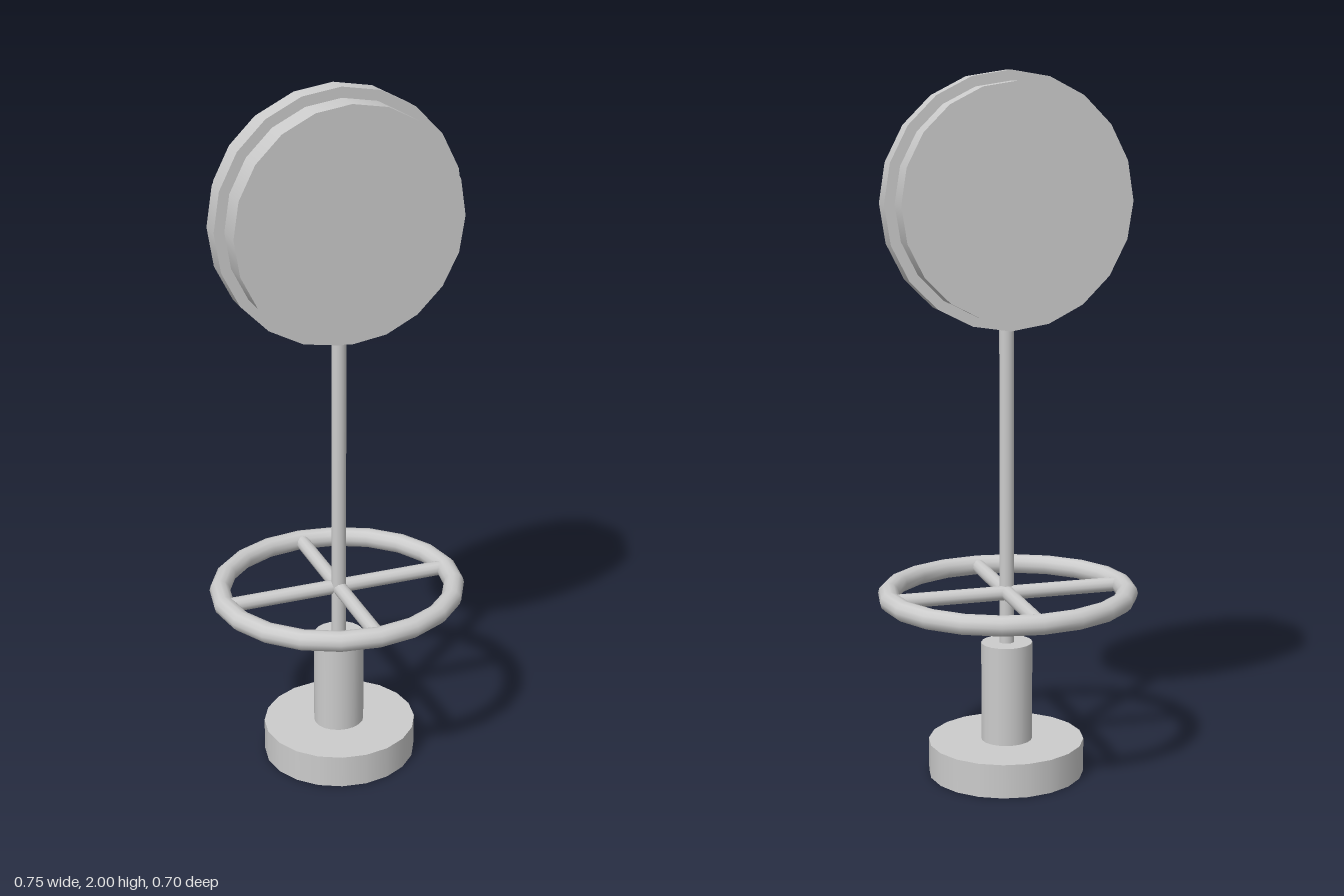
import * as THREE from 'three';

const SIDES = 20;

export function createModel() {
  const model = new THREE.Group();
  const material = new THREE.MeshStandardMaterial({ color: 0xcccccc });

  const add = (name, geometry, x, y, z) => {
    const mesh = new THREE.Mesh(geometry, material);
    mesh.name = name;
    mesh.position.set(x, y, z);
    model.add(mesh);
    return mesh;
  };

  // Upright cylinder, slightly flattened in z
  const upright = (name, rx, rz, y0, y1, x = 0) => {
    const geometry = new THREE.CylinderGeometry(rx, rx, y1 - y0, SIDES);
    geometry.scale(1, 1, rz / rx);
    return add(name, geometry, x, (y0 + y1) / 2, 0.011);
  };
  upright('base', 0.225, 0.217, 0, 0.098, 0.002);
  upright('post', 0.074, 0.069, 0.098, 0.388);
  upright('rod', 0.021, 0.019, 0.388, 1.31);

  // Head: a drum facing the front with a wider band around its middle
  const disc = (name, radius, depth) => {
    const geometry = new THREE.CylinderGeometry(radius, radius, depth, SIDES);
    geometry.rotateX(Math.PI / 2);
    return add(name, geometry, 0, 1.646, -0.001);
  };
  disc('drum', 0.325, 0.217);
  disc('drumBand', 0.354, 0.063);

  // Foot ring, slightly oval
  const wheelY = 0.537;
  const ring = new THREE.TorusGeometry(0.343, 0.03, 12, SIDES);
  ring.rotateX(Math.PI / 2);
  ring.scale(1, 0.97, 0.935);
  add('footRing', ring, 0, wheelY, -0.001);

  // Four spokes from the rod to the ring
  for (let i = 0; i < 4; i++) {
    const angle = (i * Math.PI) / 2;
    const length = i % 2 ? 0.335 : 0.315;
    const spoke = new THREE.CylinderGeometry(0.021, 0.021, length, 12);
    spoke.rotateX(Math.PI / 2);
    spoke.translate(0, 0, length / 2);
    add('spoke', spoke, 0.002, wheelY, 0).rotation.y = angle;
  }

  return model;
}
